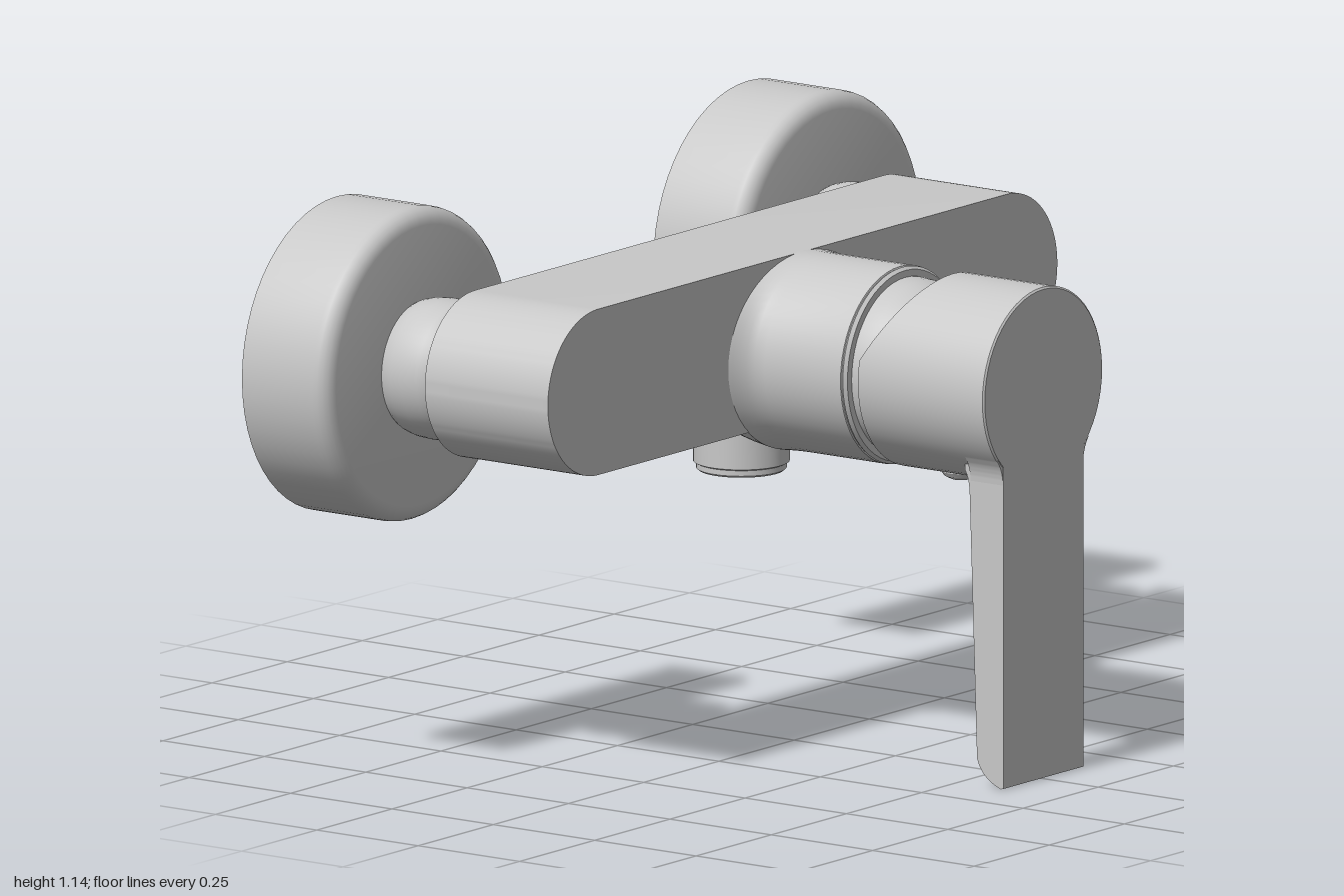
import * as THREE from 'three';
import { toCreasedNormals } from 'three/addons/utils/BufferGeometryUtils.js';

const metal = new THREE.MeshStandardMaterial({ color: 0xc8c8c8 });
metal.name = 'satin grey metal';

function part(name, geometry, x = 0, y = 0, z = 0) {
  const mesh = new THREE.Mesh(toCreasedNormals(geometry, 0.5), metal);
  mesh.name = name;
  mesh.position.set(x, y, z);
  return mesh;
}

// Turned solid along x; profile entries are [x, radius], back to front
function turned(profile, segments = 56) {
  const pts = profile.map(([x, r]) => new THREE.Vector2(r, x));
  return new THREE.LatheGeometry(pts, segments).rotateZ(-Math.PI / 2);
}

export function createModel() {
  const model = new THREE.Group();
  model.name = 'wallMixerTap';
  const pipeY = 0.828, axisY = 0.798;

  // Wall flanges and union nuts, one per side
  const rim = [];
  for (let i = 0; i <= 5; i++) {
    const a = (i / 5) * Math.PI / 2;
    rim.push([-0.447 + 0.034 * Math.sin(a), 0.282 + 0.034 * Math.cos(a)]);
  }
  for (const s of [-1, 1]) {
    const inlet = new THREE.Group();
    inlet.name = s > 0 ? 'leftInlet' : 'rightInlet';
    inlet.position.set(0, pipeY, s * 0.684);
    inlet.add(
      part('wallFlange', turned([[-0.62, 0], [-0.62, 0.316], ...rim, [-0.413, 0]])),
      part('unionNut', turned([[-0.42, 0.127], [-0.405, 0.135], [-0.385, 0.14], [-0.355, 0.142],
        [-0.32, 0.139], [-0.3, 0.134], [-0.292, 0.127], [-0.29, 0.118], [-0.29, 0]])),
      part('inletPipe', turned([[-0.3, 0.1], [-0.27, 0.1]]))
    );
    model.add(inlet);
  }

  // Long body with rounded ends
  const h = 0.168, half = 0.847 - h;
  const outline = new THREE.Shape();
  outline.moveTo(-half, -h);
  outline.lineTo(half, -h);
  outline.absarc(half, 0, h, -Math.PI / 2, Math.PI / 2, false);
  outline.lineTo(-half, h);
  outline.absarc(-half, 0, h, Math.PI / 2, Math.PI * 1.5, false);
  const body = new THREE.ExtrudeGeometry(outline, { depth: 0.303, bevelEnabled: false, curveSegments: 28 });
  model.add(part('body', body.rotateY(Math.PI / 2), -0.282, pipeY));

  // Cartridge neck, widened sideways where it blends into the body
  const neck = turned([[-0.25, 0], [-0.23, 0.138], [-0.18, 0.151], [-0.13, 0.168], [-0.08, 0.184], [-0.03, 0.195],
    [0.02, 0.199], [0.025, 0.199], [0.032, 0.199], [0.042, 0.199], [0.055, 0.199], [0.075, 0.199],
    [0.262, 0.199], [0.263, 0.196], [0.266, 0.196], [0.267, 0.198], [0.274, 0.192], [0.275, 0]]);
  const np = neck.attributes.position;
  for (let i = 0; i < np.count; i++) {
    const x = np.getX(i);
    const t = THREE.MathUtils.clamp((0.075 - x) / 0.055, 0, 1);
    if (x > 0) np.setZ(i, np.getZ(i) * (1 + 0.25 * t * t));
    else np.setZ(i, np.getZ(i) * 1.12);
  }
  model.add(part('neck', neck, 0, axisY));

  // Domed cartridge cover seen in the handle gap
  const dome = [];
  for (let i = 0; i <= 10; i++) {
    const a = (i / 10) * Math.PI / 2;
    dome.push([0.28 + 0.178 * Math.sin(a), 0.178 * Math.cos(a)]);
  }
  model.add(part('cartridgeDome', turned([[0.265, 0.178], ...dome]), 0, axisY));

  // Handle barrel with a slanted cut at the upper back
  const R = 0.199, handleY = 0.8, front = 0.615;
  const cutX = (y) => 0.305 + Math.max(0, y - 0.0445) * 0.57;
  const barrel = new THREE.CylinderGeometry(R, R, 1, 56, 1, true).rotateZ(-Math.PI / 2);
  const bp = barrel.attributes.position;
  for (let i = 0; i < bp.count; i++) bp.setX(i, bp.getX(i) > 0 ? front - 0.003 : cutX(bp.getY(i)));
  const cut = new THREE.PlaneGeometry(1, 1, 1, 28);
  const cp = cut.attributes.position;
  for (let i = 0; i < cp.count; i++) {
    const a = cp.getY(i) * Math.PI, y = R * Math.sin(a);
    cp.setXYZ(i, cutX(y), y, Math.sign(cp.getX(i)) * R * Math.cos(a));
  }
  const handle = new THREE.Group();
  handle.name = 'handle';
  handle.add(
    part('handleBarrel', barrel, 0, handleY),
    part('handleBackFace', cut, 0, handleY),
    part('handleFrontFace', turned([[front - 0.003, R], [front, R - 0.004], [front, 0]]), 0, handleY)
  );

  // Lever: tapered side profile with a curved tip
  const side = new THREE.Shape();
  side.moveTo(front, 0.72);
  side.lineTo(0.52, 0.72);
  side.lineTo(0.52, 0.64);
  side.quadraticCurveTo(0.531, 0.625, 0.532, 0.59);
  side.lineTo(0.55, 0.06);
  side.quadraticCurveTo(0.56, 0.022, 0.608, 0.004);
  side.lineTo(front, 0.006);
  side.closePath();
  const lever = new THREE.ExtrudeGeometry(side, { depth: 0.266, bevelEnabled: false, curveSegments: 8 });
  lever.translate(0, 0, -0.133);
  handle.add(part('lever', lever));

  // Small fillets joining lever and barrel
  for (const s of [-1, 1]) {
    const web = new THREE.Shape();
    web.moveTo(s * 0.12, 0.62);
    web.lineTo(s * 0.133, 0.62);
    web.quadraticCurveTo(s * 0.134, 0.65, s * 0.152, 0.672);
    web.lineTo(s * 0.12, 0.7);
    const g = new THREE.ExtrudeGeometry(web, { depth: 0.08, bevelEnabled: false });
    handle.add(part('leverFillet', g.rotateY(Math.PI / 2), front - 0.081));
  }

  // Set screw cover under the handle
  const screw = [[0, -0.018], [0.02, -0.016], [0.034, -0.009], [0.04, 0], [0.04, 0.03]]
    .map(([r, y]) => new THREE.Vector2(r, y));
  handle.add(part('screwCover', new THREE.LatheGeometry(screw, 24), 0.412, 0.603));
  model.add(handle);

  // Hose outlet under the body
  const outlet = [[0, 0.537], [0.085, 0.537], [0.09, 0.541], [0.09, 0.552], [0.096, 0.555], [0.096, 0.7]]
    .map(([r, y]) => new THREE.Vector2(r, y));
  model.add(part('hoseOutlet', new THREE.LatheGeometry(outlet, 40), -0.13));

  return model;
}
